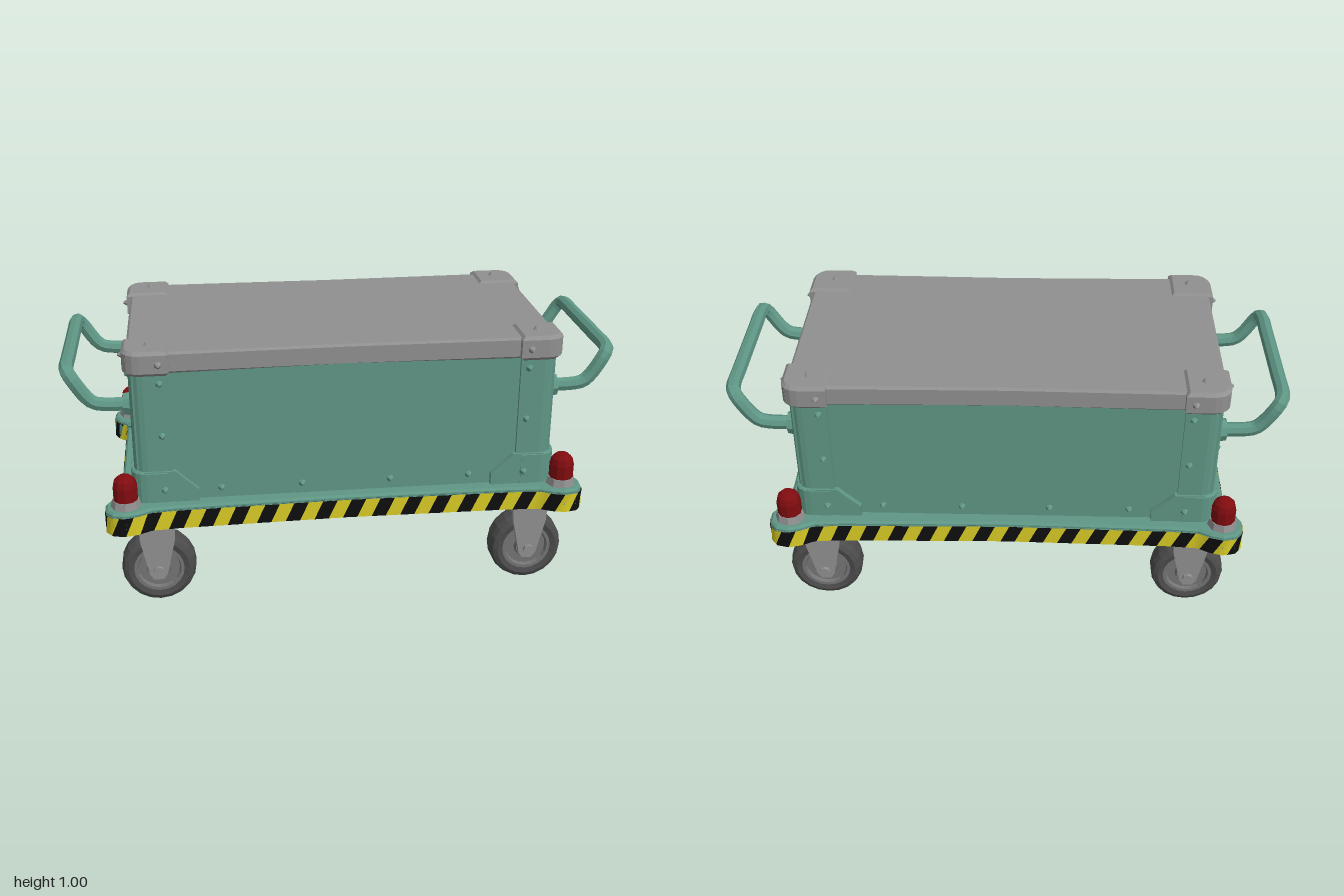
import * as THREE from 'three';

const mat = (name, color, side = THREE.FrontSide) => {
  const m = new THREE.MeshStandardMaterial({ color, flatShading: true, side });
  m.name = name;
  return m;
};

export function createModel() {
  const teal = mat('teal paint', 0x5f9685);
  const grey = mat('grey metal', 0x8f908f);
  const yellow = mat('warning yellow', 0xd8cb25, THREE.DoubleSide);
  const black = mat('warning black', 0x0e0e0e, THREE.DoubleSide);
  const red = mat('beacon red', 0x800c10);
  const rubber = mat('tyre rubber', 0x4c4c4c);
  const hubGrey = mat('hub grey', 0x747474);

  const model = new THREE.Group();
  model.name = 'equipmentCart';
  const V = (x, y, z) => new THREE.Vector3(x, y, z);

  const add = (name, geo, material, x = 0, y = 0, z = 0, parent = model) => {
    const m = new THREE.Mesh(geo, material);
    m.name = name;
    m.position.set(x, y, z);
    parent.add(m);
    return m;
  };
  const extrude = (pts, depth, bevel = 0) => new THREE.ExtrudeGeometry(
    new THREE.Shape(pts.map(([a, b]) => new THREE.Vector2(a, b))),
    { depth, bevelEnabled: bevel > 0, bevelSize: bevel, bevelThickness: bevel, bevelOffset: -bevel, bevelSegments: 1 });
  // Extrudes an x/z outline upward from y0 to y1
  const slab = (pts, y0, y1, bevel = 0) =>
    extrude(pts.map(([x, z]) => [x, -z]), y1 - y0 - 2 * bevel, bevel).rotateX(-Math.PI / 2).translate(0, y0 + bevel, 0);
  // Corner block with a rounded outer edge
  const corner = (sx, sz, x0, x1, z0, z1, r, y0, y1, bevel) => {
    const pts = [[x0, z0], [x1, z0]];
    for (let i = 0; i <= 4; i++) {
      const a = i * Math.PI / 8;
      pts.push([x1 - r + r * Math.cos(a), z1 - r + r * Math.sin(a)]);
    }
    pts.push([x0, z1]);
    return slab(pts.map(([x, z]) => [x * sx, z * sz]), y0, y1, bevel);
  };
  const rivetGeo = new THREE.CylinderGeometry(0.004, 0.015, 0.018, 6).translate(0, 0.007, 0);
  const rivet = (x, y, z, dir, material) =>
    add('rivet', rivetGeo, material, x, y, z).quaternion.setFromUnitVectors(V(0, 1, 0), dir);

  // Deck outline: one quarter mirrored round, with a lobe at each corner
  const quarter = [[0.81, 0.33], [0.845, 0.36], [0.864, 0.40], [0.86, 0.45], [0.835, 0.482],
    [0.79, 0.492], [0.745, 0.48], [0.70, 0.456], [0.60, 0.448]];
  const flip = (sx, sz) => quarter.map(([x, z]) => [x * sx, z * sz]);
  const outline = [...flip(1, 1), [0, 0.437], ...flip(-1, 1).reverse(),
    ...flip(-1, -1), [0, -0.437], ...flip(1, -1).reverse()];
  add('deck', slab(outline, 0.338, 0.406), teal);
  add('deckTop', slab(outline, 0.40, 0.422, 0.008), teal);

  // Slanted warning stripes wrapped round the deck edge
  const loop = [...outline, outline[0]].map(([x, z]) => V(x * 1.004, 0, z * 1.007));
  const path = new THREE.CurvePath();
  for (let i = 0; i + 1 < loop.length; i++) path.add(new THREE.LineCurve3(loop[i], loop[i + 1]));
  const total = path.getLength(), count = 104, cuts = 6;
  const at = (s, y) => path.getPointAt((((s / total) % 1) + 1) % 1).setY(y);
  const bands = [[], []];
  for (let i = 0; i < count * cuts; i++) {
    const s = i * total / (count * cuts), e = (i + 1) * total / (count * cuts), lean = 0.032;
    const a = at(s, 0.336), b = at(e, 0.336), c = at(s - lean, 0.406), d = at(e - lean, 0.406);
    for (const p of [a, c, d, a, d, b]) bands[Math.floor(i / cuts) % 2].push(p.x, p.y, p.z);
  }
  bands.forEach((data, i) => {
    const g = new THREE.BufferGeometry();
    g.setAttribute('position', new THREE.Float32BufferAttribute(data, 3));
    g.computeVertexNormals();
    add(i ? 'blackStripes' : 'yellowStripes', g, i ? black : yellow);
  });

  // Chest and lid
  add('chest', new THREE.BoxGeometry(1.49, 0.5, 0.78), teal, 0, 0.665, 0);
  const lidShape = [[0.76, 0.40], [0, 0.39], [-0.76, 0.40], [-0.76, -0.40], [0, -0.39], [0.76, -0.40]];
  add('lid', slab(lidShape, 0.905, 0.982, 0.008), grey);

  // Shared geometry for casters and beacons
  const lathe = (pts, n) => new THREE.LatheGeometry(pts.map(([r, y]) => new THREE.Vector2(r, y)), n);
  const tyreGeo = lathe([[0.088, -0.046], [0.112, -0.052], [0.128, -0.044], [0.136, -0.022], [0.136, 0.022],
    [0.128, 0.044], [0.112, 0.052], [0.088, 0.046]], 20).rotateX(Math.PI / 2);
  const hubGeo = lathe([[0, -0.05], [0.04, -0.05], [0.045, -0.034], [0.075, -0.034], [0.08, -0.047], [0.092, -0.047],
    [0.092, 0.047], [0.08, 0.047], [0.075, 0.034], [0.045, 0.034], [0.04, 0.05], [0, 0.05]], 20).rotateX(Math.PI / 2);
  const forkGeo = extrude([[-0.065, 0.315], [-0.062, 0.26], [-0.034, 0.125], [-0.02, 0.104], [0.015, 0.104],
    [0.03, 0.125], [0.062, 0.26], [0.065, 0.315]], 0.024);
  const domeGeo = lathe([[0.044, 0.44], [0.044, 0.5], [0.038, 0.523], [0.022, 0.538], [0, 0.542]], 10);

  for (const sx of [1, -1]) {
    for (const sz of [1, -1]) {
      // Corner posts, foot brackets and lid caps
      add('cornerPost', corner(sx, sz, 0.62, 0.757, 0.26, 0.402, 0.05, 0.41, 0.91, 0), teal);
      add('footCorner', corner(sx, sz, 0.64, 0.768, 0.28, 0.412, 0.055, 0.415, 0.54, 0.006), teal);
      add('lidCap', corner(sx, sz, 0.615, 0.775, 0.255, 0.42, 0.06, 0.902, 0.991, 0.012), grey);
      const sidePlate = [[0.72, 0.415], [0.72, 0.54], [0.61, 0.54], [0.585, 0.515], [0.53, 0.465], [0.53, 0.415]];
      add('footPlateSide', extrude(sidePlate.map(([x, y]) => [x * sx, y]), 0.022), teal, 0, 0, sz > 0 ? 0.388 : -0.41);
      const endPlate = [[0.36, 0.415], [0.36, 0.54], [0.235, 0.54], [0.21, 0.515], [0.205, 0.415]];
      add('footPlateEnd', extrude(endPlate.map(([z, y]) => [z * sz, y]), 0.024).rotateY(-Math.PI / 2), teal,
        sx > 0 ? 0.766 : -0.742, 0, 0);

      // Rivets on posts, brackets, panels and caps
      const outX = V(sx, 0, 0), outZ = V(0, 0, sz);
      for (const y of [0.87, 0.675, 0.47]) {
        const out = y < 0.5 ? 0.01 : 0;
        rivet(sx * (0.757 + out), y, sz * 0.29, outX, teal);
        rivet(sx * 0.65, y, sz * (0.402 + out), outZ, teal);
      }
      rivet(sx * 0.745, 0.46, sz * 0.175, outX, teal);
      for (const x of [0.16, 0.45]) rivet(sx * x, 0.46, sz * 0.39, outZ, teal);
      rivet(sx * 0.775, 0.945, sz * 0.295, outX, grey);
      rivet(sx * 0.65, 0.945, sz * 0.42, outZ, grey);
      rivet(sx * 0.685, 0.989, sz * 0.34, V(0, 1, 0), grey);

      // Warning beacon
      add('beaconBase', new THREE.CylinderGeometry(0.048, 0.057, 0.036, 8), grey, sx * 0.79, 0.431, sz * 0.42);
      add('beaconLamp', domeGeo, red, sx * 0.79, 0, sz * 0.42);

      // Caster
      const caster = new THREE.Group();
      caster.name = 'caster';
      caster.position.set(sx * 0.69, 0, sz * 0.335);
      model.add(caster);
      add('tyre', tyreGeo, rubber, 0, 0.137, 0, caster);
      add('wheelHub', hubGeo, hubGrey, 0, 0.137, 0, caster);
      for (const z of [-0.07, 0.046]) add('forkArm', forkGeo, grey, 0, 0, z, caster);
      add('forkCrown', new THREE.BoxGeometry(0.13, 0.026, 0.14), grey, 0, 0.302, 0, caster);
      add('swivel', new THREE.CylinderGeometry(0.06, 0.05, 0.03, 10), grey, 0, 0.327, 0, caster);
      add('axle', new THREE.CylinderGeometry(0.02, 0.02, 0.165, 8).rotateX(Math.PI / 2), grey, 0, 0.14, 0, caster);

      // Handle mount
      add('handleMount', new THREE.CylinderGeometry(0.04, 0.045, 0.03, 8).rotateZ(-sx * Math.PI / 2), teal,
        sx * 0.767, 0.762, sz * 0.30);
    }

    // Bent tube handle
    const half = [[0.755, 0.762, 0.30], [0.85, 0.764, 0.30], [0.885, 0.772, 0.30], [0.91, 0.795, 0.30],
      [0.955, 0.865, 0.298], [0.968, 0.884, 0.285], [0.973, 0.889, 0.255], [0.973, 0.89, 0.15]];
    const pts = [...half, ...half.map(([x, y, z]) => [x, y, -z]).reverse()].map(([x, y, z]) => V(x * sx, y, z));
    add('handle', new THREE.TubeGeometry(new THREE.CatmullRomCurve3(pts), 56, 0.026, 8), teal);
  }
  return model;
}
